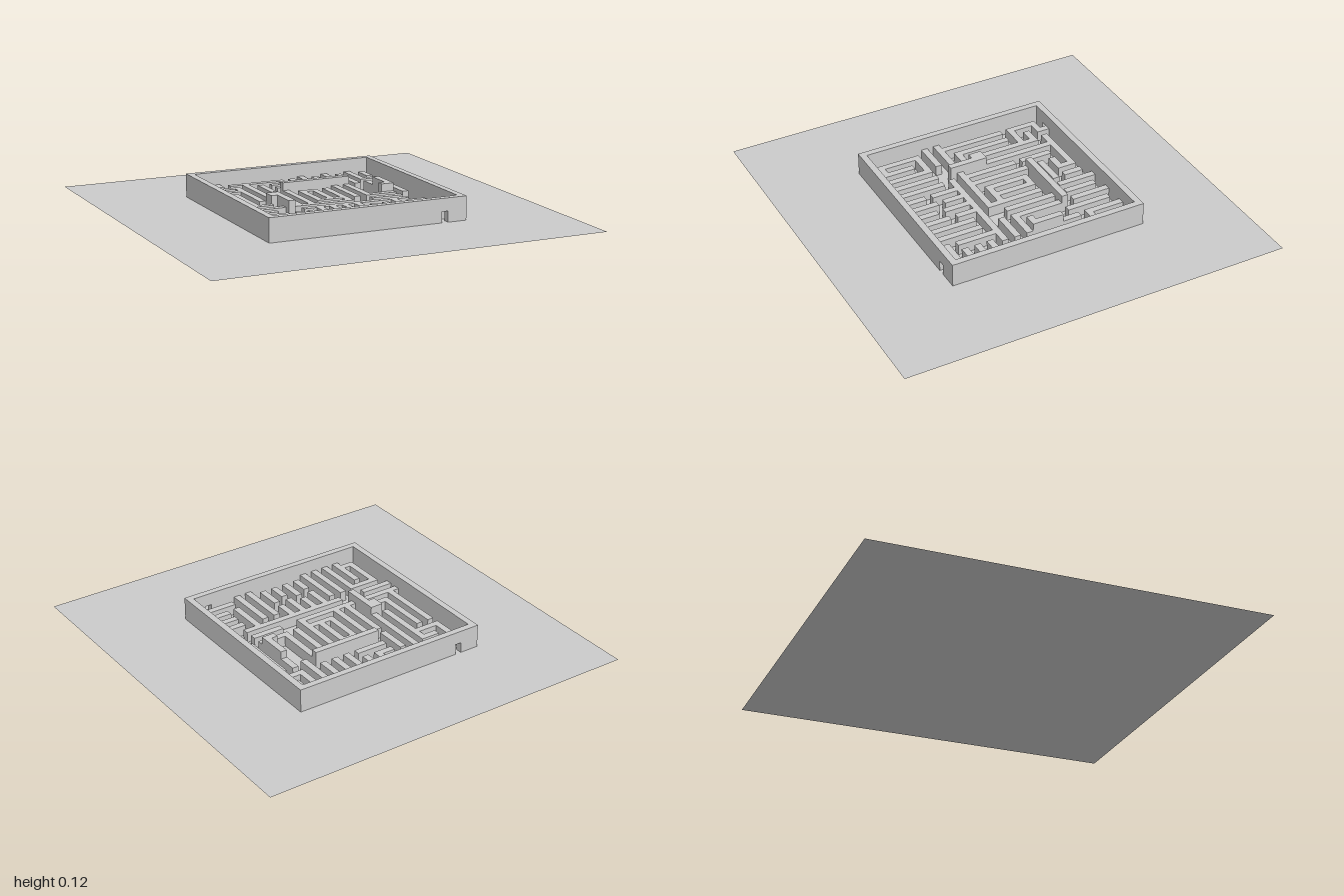
import * as THREE from 'three';

const N = 31;             // grid cells along each side
const CELL = 1 / 30;      // one wall thickness
const HALF = N * CELL / 2;
const OUTER = 0.12, INNER = 0.055, TALL = 0.095;

const material = new THREE.MeshStandardMaterial({ color: 0xcccccc, flatShading: true, side: THREE.DoubleSide });

function addMesh(parent, name, geometry) {
  const mesh = new THREE.Mesh(geometry, material);
  mesh.name = name;
  parent.add(mesh);
  return mesh;
}

function addGroup(parent, name) {
  const group = new THREE.Group();
  group.name = name;
  parent.add(group);
  return group;
}

// Box covering grid cells c0..c1 by r0..r1, standing on the ground
function addWall(parent, name, c0, r0, c1, r1, height) {
  const w = (c1 - c0 + 1) * CELL, d = (r1 - r0 + 1) * CELL;
  const wall = addMesh(parent, name, new THREE.BoxGeometry(w, height, d));
  wall.position.set(c0 * CELL - HALF + w / 2, height / 2, r0 * CELL - HALF + d / 2);
}

// Outer wall panel with a small doorway cut through its foot
function doorWallGeometry() {
  const a = 27 * CELL - HALF, b = a + CELL, top = 0.055;
  const shape = new THREE.Shape();
  shape.moveTo(-HALF, 0).lineTo(a, 0).lineTo(a, top).lineTo(b, top).lineTo(b, 0);
  shape.lineTo(HALF, 0).lineTo(HALF, OUTER).lineTo(-HALF, OUTER);
  return new THREE.ExtrudeGeometry(shape, { depth: CELL, bevelEnabled: false });
}

// Tall enclosure with a doorway in the front and, turned half round, in the back
function addEnclosure(model) {
  const enclosure = addGroup(model, 'enclosure');
  const front = addMesh(enclosure, 'frontWall', doorWallGeometry());
  front.position.z = HALF - CELL;
  const back = addMesh(enclosure, 'backWall', doorWallGeometry());
  back.rotation.y = Math.PI;
  back.position.z = CELL - HALF;
  addWall(enclosure, 'rightWall', 0, 1, 0, N - 2, OUTER);
  addWall(enclosure, 'leftWall', N - 1, 1, N - 1, N - 2, OUTER);
}

function addMaze(model) {
  const maze = addGroup(model, 'maze');
  const column = (c, r0, r1) => addWall(maze, 'lengthwiseWall', c, r0, c, r1, INNER);
  const row = (r, c0, c1) => addWall(maze, 'crosswiseWall', c0, r, c1, r, INNER);

  // Long crosswise walls dividing the maze into regions
  row(18, 1, 18);
  row(20, 1, 5);
  row(20, 10, 26);
  row(18, 22, 26);

  // Central chamber: a loop inside a larger surround
  for (const c of [14, 16]) column(c, 10, 16);
  for (const r of [10, 16]) row(r, 15, 15);
  column(12, 9, 17);
  column(18, 10, 17);
  row(16, 17, 17);

  // Back left: hooked walls
  column(4, 1, 2);
  row(2, 2, 3);
  column(2, 3, 6);
  row(6, 3, 5);
  row(4, 4, 5);
  column(6, 4, 13);
  row(2, 6, 14);
  column(8, 3, 6);
  column(10, 4, 8);
  column(14, 3, 4);
  row(4, 12, 13);
  row(6, 12, 16);
  column(16, 2, 4);

  // Back right: fingers, alternately joined to the back wall
  for (let c = 18; c <= 26; c += 2) column(c, c % 4 ? 1 : 2, c === 24 ? 8 : 6);
  column(28, 2, 4);
  row(6, 27, 28);

  // Right and left of the chamber: long lengthwise walls
  column(2, 8, 17);
  column(4, 8, 16);
  column(8, 7, 13);
  column(10, 10, 17);
  row(16, 5, 6);
  for (let c = 20; c <= 22; c += 2) column(c, 9, 16);
  column(26, 8, 10);
  column(28, 8, 16);
  row(16, 23, 26);

  // Front: long fingers beside short staggered ones
  for (let c = 6; c <= 22; c += 2) {
    if (c < 12 || c > 18) column(c, 22, 29);
    else {
      column(c, 21, c % 4 ? 23 : 24);
      column(c, c % 4 ? 25 : 26, 28);
    }
  }
  row(22, 2, 5);
  column(2, 23, 27);
  column(4, 24, 29);
  row(28, 2, 3);
  column(24, 21, 26);

  // Front right: crosswise fingers
  for (let r = 22; r <= 26; r += 2) row(r, 26, r === 24 ? 29 : 28);
  row(28, 24, 28);

  // Blocks rising above the rest
  const tall = (c0, r0, c1, r1) => addWall(maze, 'tallBlock', c0, r0, c1, r1, TALL);
  tall(12, 8, 22, 8);
  tall(7, 14, 8, 15);
  tall(8, 16, 8, 19);
  tall(26, 11, 26, 15);
  tall(25, 15, 25, 15);
}

export function createModel() {
  const model = new THREE.Group();
  model.name = 'walledMaze';

  // Ground sheet
  const ground = addMesh(model, 'ground', new THREE.PlaneGeometry(2, 2));
  ground.rotation.x = -Math.PI / 2;

  addEnclosure(model);
  addMaze(model);
  return model;
}
